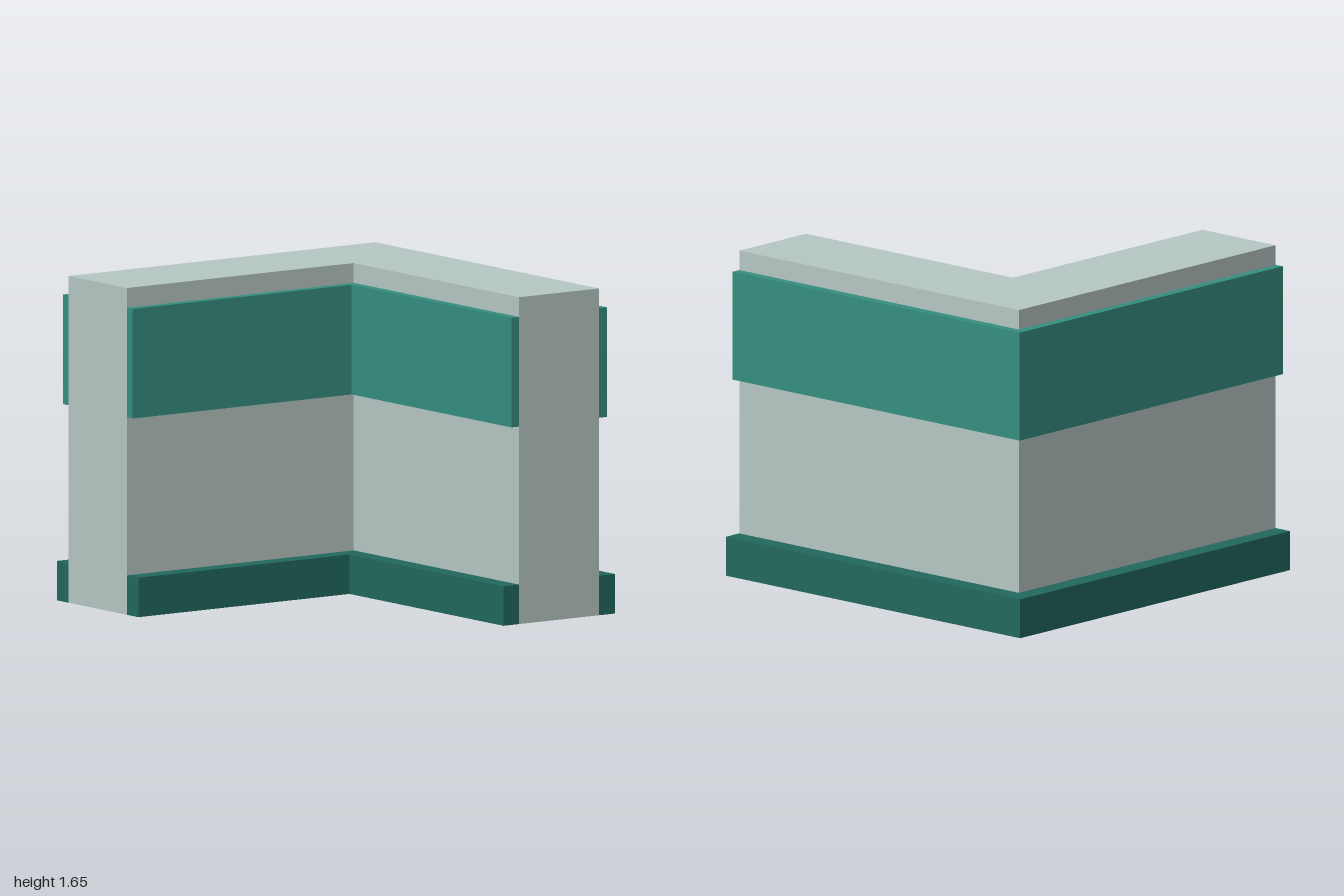
import * as THREE from 'three';

const flat = (name, color) => {
  const m = new THREE.MeshStandardMaterial({ color });
  m.name = name;
  return m;
};

// L-shaped strip in plan between offsets a and b, both arms running to +1
function cornerStrip(name, a, b, y0, y1, material) {
  const plan = [[a, 1], [a, a], [1, a], [1, b], [b, b], [b, 1]];
  const shape = new THREE.Shape(plan.map(([x, z]) => new THREE.Vector2(x, -z)));
  const geo = new THREE.ExtrudeGeometry(shape, { depth: y1 - y0, bevelEnabled: false });
  geo.rotateX(-Math.PI / 2);
  geo.translate(0, y0, 0);
  const mesh = new THREE.Mesh(geo, material);
  mesh.name = name;
  return mesh;
}

export function createModel() {
  const model = new THREE.Group();
  model.name = 'cornerWall';
  const wall = flat('paleGreyGreen', 0xb7c8c4);
  const band = flat('teal', 0x358f80);
  const base = flat('darkTeal', 0x22695e);

  // Wall core, exposed at both cut ends
  model.add(cornerStrip('wall', -0.9, -0.405, 0, 1.655, wall));
  // Upper bands on the outer and inner faces
  model.add(cornerStrip('outerBand', -0.95, -0.9, 1, 1.555, band));
  model.add(cornerStrip('innerBand', -0.405, -0.357, 1, 1.555, band));
  // Skirting on the outer and inner faces
  model.add(cornerStrip('outerSkirting', -1, -0.9, 0, 0.2, base));
  model.add(cornerStrip('innerSkirting', -0.405, -0.308, 0, 0.2, base));
  return model;
}
